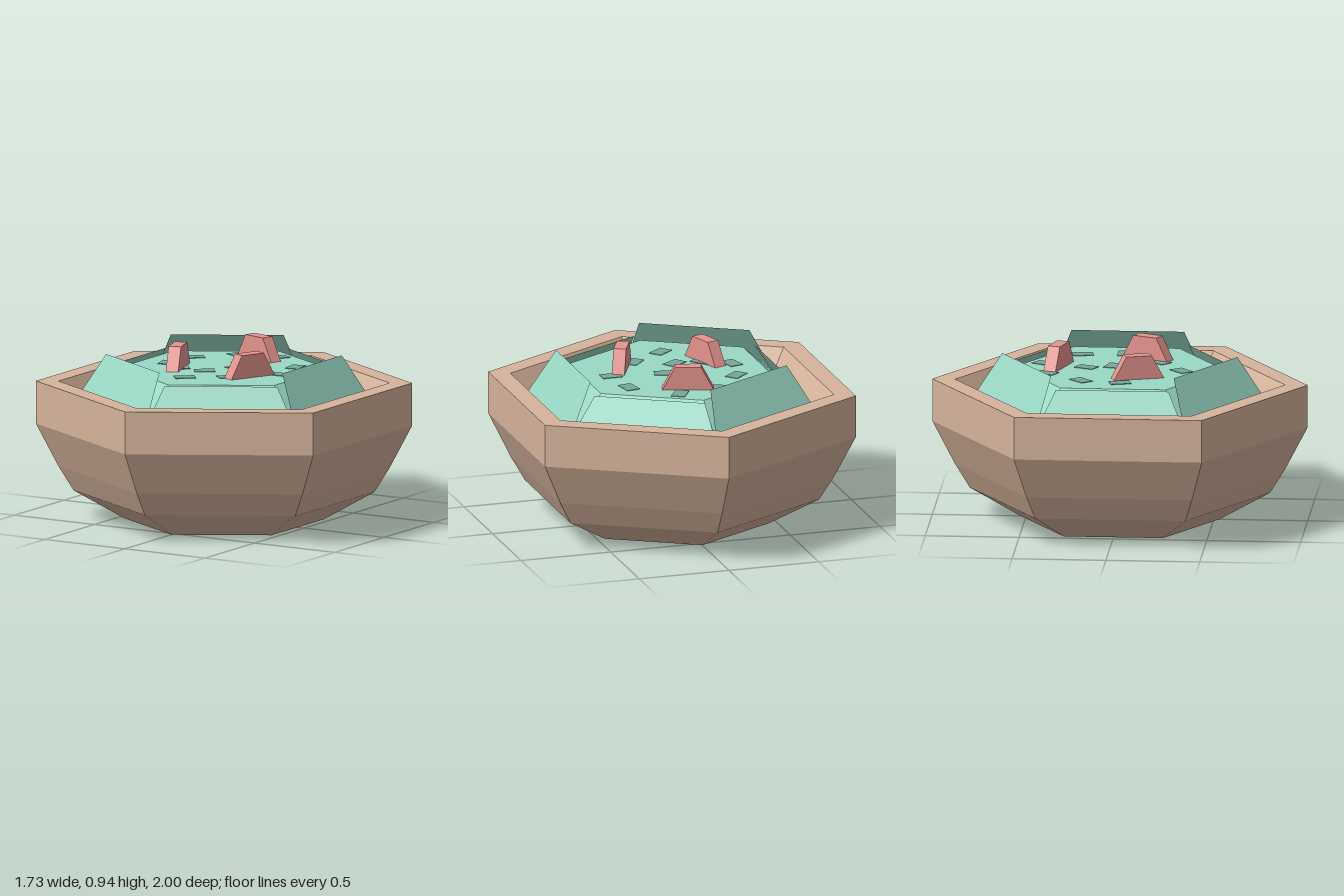
import * as THREE from 'three';

const mat = (color, side = THREE.FrontSide) =>
  new THREE.MeshStandardMaterial({ color, flatShading: true, side });

export function createModel() {
  const model = new THREE.Group();
  const add = (name, geometry, material, parent = model) => {
    const mesh = new THREE.Mesh(geometry, material);
    mesh.name = name;
    parent.add(mesh);
    return mesh;
  };
  const clay = mat(0xd6b49c);
  const leaf = mat(0x9ad8c5);
  const leafSheet = mat(0x9ad8c5, THREE.DoubleSide);
  const spot = mat(0x78a899);
  const pink = mat(0xe5948f);

  // Six-sided bowl with a thick rim and a sloping inner wall
  const profile = [
    [0, 0], [0.53, 0], [0.8, 0.15], [0.88, 0.28], [1, 0.51], [1, 0.74],
    [0.88, 0.74], [0.8, 0.62], [0, 0.62],
  ].map(([r, y]) => new THREE.Vector2(r, y));
  add('bowl', new THREE.LatheGeometry(profile, 6), clay);

  // Six-sided mound filling the bowl
  const floorY = 0.815, baseY = 0.62;
  add('mound', new THREE.CylinderGeometry(0.56, 0.8, floorY - baseY, 6), leaf)
    .position.y = (floorY + baseY) / 2;

  // Thin petals around the mound, alternately tall and low; the first faces +x
  const petals = new THREE.Group();
  petals.name = 'petals';
  model.add(petals);
  for (let i = 0; i < 6; i++) {
    const top = i % 2 ? 0.82 : 0.89;
    const geometry = new THREE.BufferGeometry();
    geometry.setAttribute('position', new THREE.Float32BufferAttribute([
      0.693, baseY, 0.4, 0.693, baseY, -0.4, 0.55, top, -0.3, 0.55, top, 0.3,
    ], 3));
    geometry.setIndex([0, 1, 2, 0, 2, 3]);
    geometry.computeVertexNormals();
    add(i % 2 ? 'lowPetal' : 'tallPetal', geometry, leafSheet, petals)
      .rotation.y = i * Math.PI / 3;
  }

  // Flat dark spots on the mound: x, z, turn in degrees
  const spots = new THREE.Group();
  spots.name = 'spots';
  model.add(spots);
  const spotGeometry = new THREE.BoxGeometry(0.11, 0.004, 0.075);
  [
    [0.31, -0.22, 100], [0.34, 0, 0], [0.055, -0.04, -15], [0.01, -0.18, 65],
    [0.085, -0.41, 60], [-0.14, -0.38, 65], [-0.3, -0.185, 42], [-0.34, 0.025, -75],
    [-0.2, 0.1, -50], [-0.05, 0.115, 35], [-0.04, 0.33, 40], [0.15, 0.2, 50],
  ].forEach(([x, z, turn]) => {
    const mesh = add('spot', spotGeometry, spot, spots);
    mesh.position.set(x, floorY + 0.001, z);
    mesh.rotation.y = THREE.MathUtils.degToRad(turn);
  });

  // Trapezoid fins standing on the mound: centre x, z and direction x, z
  const finShape = new THREE.Shape([
    [-0.14, 0], [0.14, 0], [0.07, 0.13], [-0.07, 0.13],
  ].map(([x, y]) => new THREE.Vector2(x, y)));
  const finGeometry = new THREE.ExtrudeGeometry(finShape, { depth: 0.068, bevelEnabled: false });
  finGeometry.translate(0, 0, -0.034);
  [
    [0.015, -0.328, 0.265, 0.08],
    [-0.22, 0.11, 0.085, 0.255],
    [0.24, 0.13, -0.115, 0.245],
  ].forEach(([x, z, dx, dz]) => {
    const mesh = add('fin', finGeometry, pink);
    mesh.position.set(x, 0.81, z);
    mesh.rotation.y = Math.atan2(-dz, dx);
  });

  return model;
}
